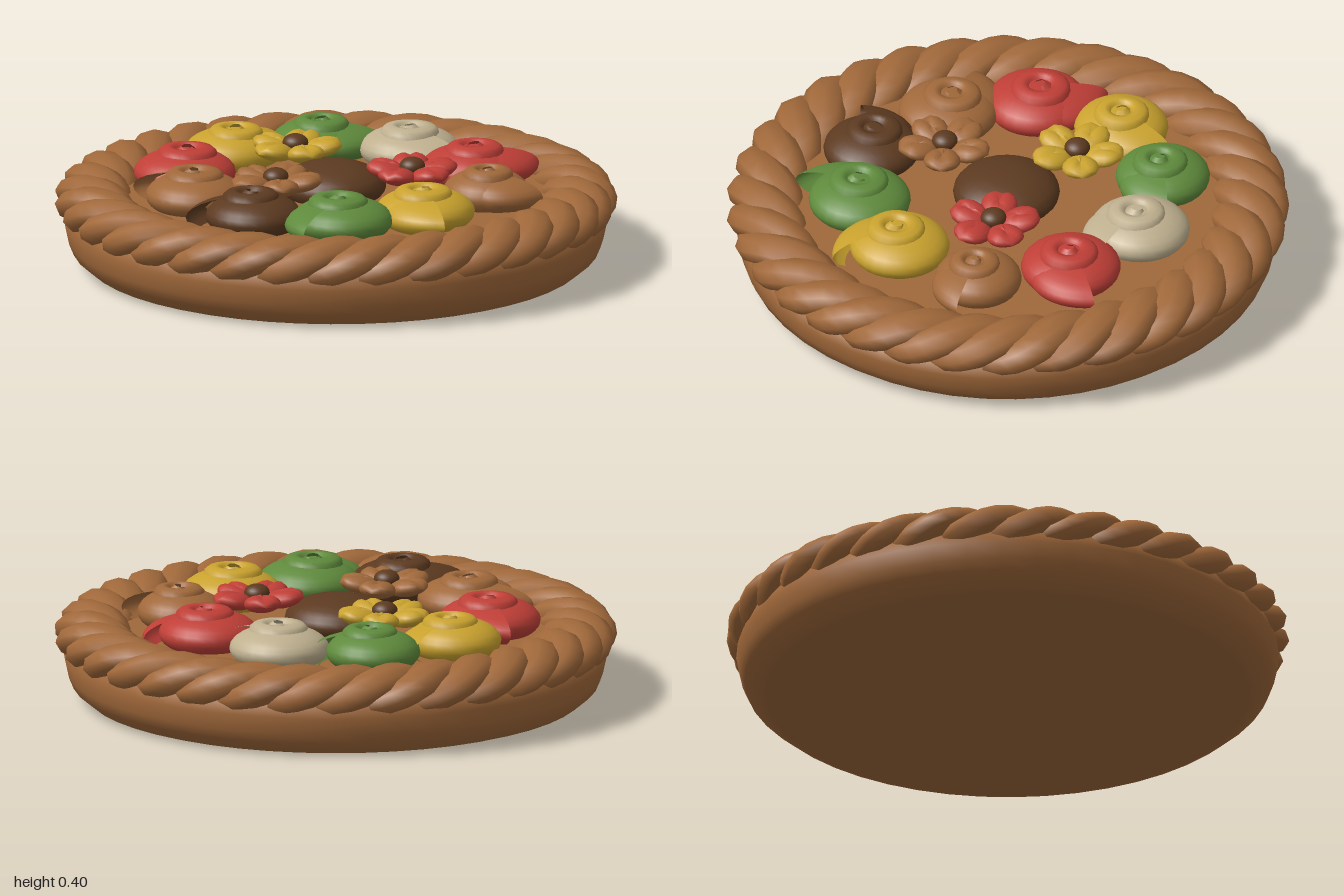
import * as THREE from 'three';

const paint = (name, color) => new THREE.MeshStandardMaterial({ name, color, side: THREE.DoubleSide });

function add(parent, name, geometry, material, x = 0, y = 0, z = 0) {
  const mesh = new THREE.Mesh(geometry, material);
  mesh.name = name;
  mesh.position.set(x, y, z);
  parent.add(mesh);
  return mesh;
}

const lathe = (points, segments) =>
  new THREE.LatheGeometry(points.map(([r, y]) => new THREE.Vector2(r, y)), segments);

// One strand of the twisted rim, winding around a ring
class StrandCurve extends THREE.Curve {
  constructor(turns, offset) {
    super();
    this.turns = turns;
    this.offset = offset;
  }
  getPoint(t, target = new THREE.Vector3()) {
    const a = t * Math.PI * 2;
    const p = this.offset - this.turns * a;
    const r = 0.862 + 0.062 * Math.cos(p);
    return target.set(r * Math.cos(a), 0.062 * Math.sin(p), r * Math.sin(a));
  }
}

// Part of a dome whose radius grows towards its loose end
function flapGeometry() {
  const arc = 1.25;
  const g = new THREE.SphereGeometry(1, 10, 8, 0, arc, 0.45, 1.75);
  const p = g.attributes.position;
  for (let i = 0; i < p.count; i++) {
    const grow = (Math.PI - Math.atan2(p.getZ(i), p.getX(i))) / arc;
    const f = 1 + 0.42 * grow;
    p.setXYZ(i, p.getX(i) * f, p.getY(i) * 0.92, p.getZ(i) * f);
  }
  g.computeVertexNormals();
  g.rotateY(Math.PI - arc); // loose end now points along +x
  return g;
}

// Petal along +x with a shallow crease and a lifted tip
function petalGeometry() {
  const g = new THREE.SphereGeometry(1, 14, 10);
  const p = g.attributes.position;
  for (let i = 0; i < p.count; i++) {
    const x = p.getX(i), y = p.getY(i), z = p.getZ(i);
    const crease = y > 0 && x > -0.3 ? 0.012 * Math.exp(-z * z * 30) : 0;
    p.setXYZ(i, 0.095 + x * 0.073, y * 0.034 + x * 0.012 - crease, z * 0.066 * (1 + 0.12 * x));
  }
  g.computeVertexNormals();
  return g;
}

export function createModel() {
  const model = new THREE.Group();
  model.name = 'decoratedPie';

  const crust = paint('crust brown', 0xa0683a);
  const dark = paint('dark brown', 0x5c3a20);
  const yellow = paint('yellow', 0xc9a22e);
  const green = paint('green', 0x5f8a3c);
  const red = paint('red', 0xbf3f37);
  const cream = paint('cream', 0xbfb08f);

  // Dish with a flat bottom, rounded wall and flat filling level
  add(model, 'base', lathe([[0, 0], [0.86, 0], [0.885, 0.008], [0.935, 0.05], [0.952, 0.09],
    [0.965, 0.15], [0.95, 0.2], [0.86, 0.25], [0.74, 0.25], [0, 0.25]], 48), crust);

  // Twisted rim of three strands
  for (let i = 0; i < 3; i++) {
    const g = new THREE.TubeGeometry(new StrandCurve(11, i * Math.PI * 2 / 3), 154, 0.078, 9, true);
    g.scale(1, 0.65, 1);
    add(model, 'rimStrand', g, crust, 0, 0.23, 0);
  }

  // Rolled rosettes: x, z, radius, angle of the loose end in degrees, colour
  const dome = new THREE.SphereGeometry(1, 28, 14);
  const flap = flapGeometry();
  const collar = lathe([[0.6, -0.1], [0.58, 0.06], [0.5, 0.15], [0.36, 0.19], [0.26, 0.17], [0.2, 0.04]], 20);
  const bud = new THREE.CylinderGeometry(0.1, 0.2, 0.16, 5, 1, true, 0, 4.6);
  const rosettes = [
    [-0.19, -0.53, 0.168, 335, yellow], [0.145, -0.54, 0.168, 20, green],
    [0.41, -0.33, 0.178, 62, cream], [0.52, -0.01, 0.178, 5, red],
    [0.45, 0.32, 0.155, 45, crust], [0.15, 0.49, 0.178, 95, yellow],
    [-0.17, 0.5, 0.182, 143, green], [-0.44, 0.33, 0.172, 195, dark],
    [-0.53, -0.01, 0.178, 230, crust], [-0.45, -0.32, 0.182, 282, red],
  ];
  for (const [x, z, r, degrees, material] of rosettes) {
    const group = new THREE.Group();
    group.name = 'rosette';
    group.position.set(x, 0.295, z);
    group.rotation.y = -THREE.MathUtils.degToRad(degrees);
    add(group, 'rosetteBody', dome, material).scale.set(r, 0.08, r);
    add(group, 'looseFlap', flap, material).scale.set(r, 0.08, r);
    add(group, 'innerRoll', collar, material, 0.01, 0.065, 0.01).scale.set(r, 0.14, r);
    const core = add(group, 'rosetteBud', bud, material, 0.01, 0.078, 0.01);
    core.scale.set(r * 1.2, 0.15, r * 1.2);
    core.rotation.z = 0.2;
    model.add(group);
  }

  // Plain dome in the middle
  add(model, 'centreDome', dome, dark, -0.01, 0.285, 0).scale.set(0.19, 0.085, 0.19);

  // Small five-petalled flowers: x, z, first petal angle in degrees, colour
  const petal = petalGeometry();
  for (const [x, z, degrees, material] of [
    [-0.04, -0.29, 18, yellow], [0.23, 0.16, 0, red], [-0.275, 0.12, 30, crust],
  ]) {
    const group = new THREE.Group();
    group.name = 'flower';
    group.position.set(x, 0.352, z);
    for (let i = 0; i < 5; i++) {
      add(group, 'petal', petal, material).rotation.y = -THREE.MathUtils.degToRad(degrees + i * 72);
    }
    add(group, 'flowerCentre', dome, dark, 0, 0.018, 0).scale.set(0.046, 0.032, 0.046);
    model.add(group);
  }

  return model;
}
